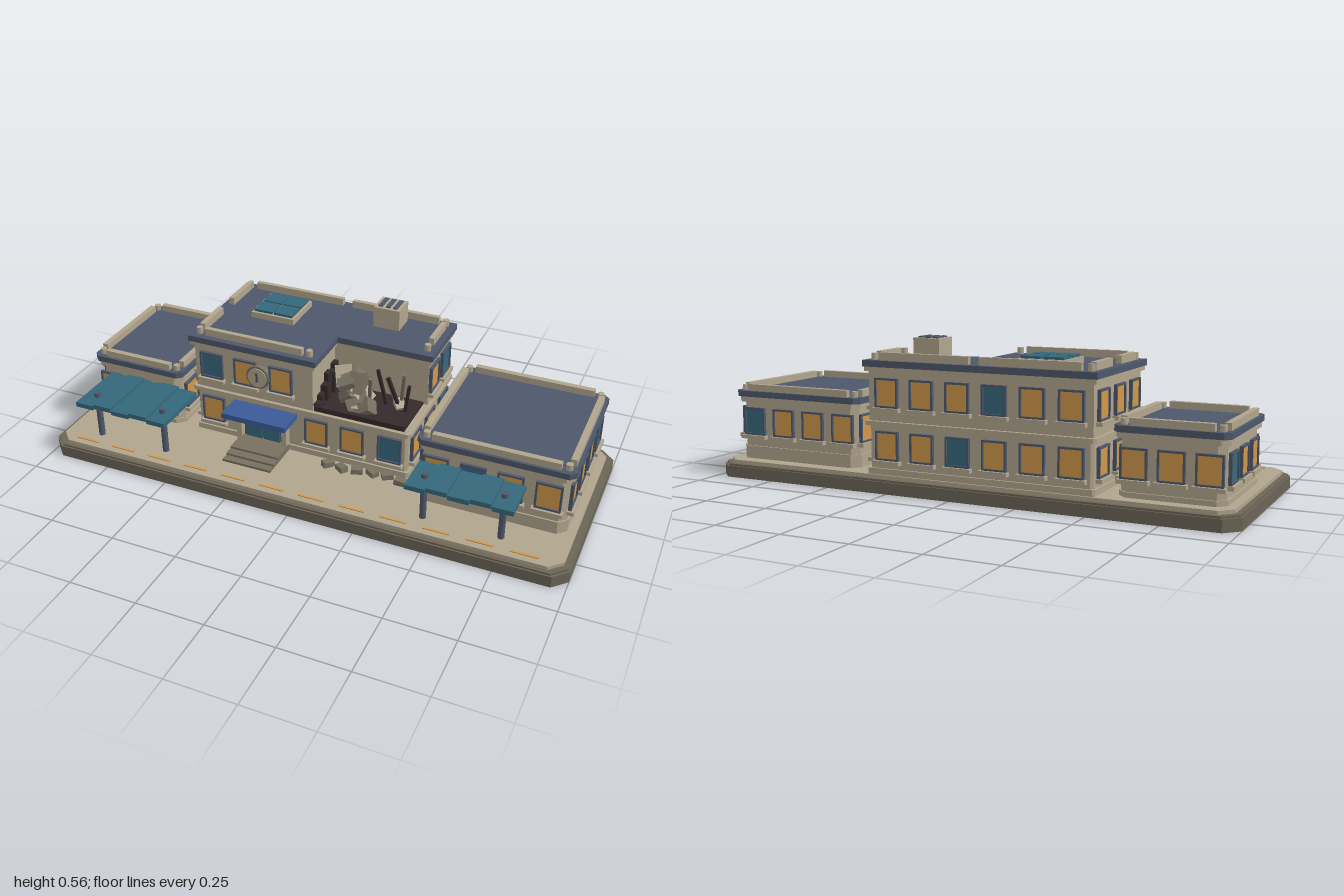
import * as THREE from 'three';

const mat = (name, color) => { const m = new THREE.MeshStandardMaterial({ color }); m.name = name; return m; };

export function createModel() {
  const beige = mat('stone', 0xb0a58d), base = mat('foundation', 0x6b6556), slate = mat('slate', 0x4d586b),
    amber = mat('litGlass', 0xcf974a), teal = mat('tealGlass', 0x34687a), blue = mat('awningBlue', 0x3b5a97),
    dark = mat('charred', 0x35292b), grey = mat('rubbleGrey', 0x777060);
  const root = new THREE.Group();
  root.name = 'station';
  let seed = 7;
  const rnd = () => (seed = (seed * 16807) % 2147483647) / 2147483647;

  const group = (name, parent = root) => { const g = new THREE.Group(); g.name = name; parent.add(g); return g; };
  const add = (parent, name, geo, m) => { const o = new THREE.Mesh(geo, m); o.name = name; parent.add(o); return o; };
  // box given by its limits
  const box = (parent, name, m, x0, x1, y0, y1, z0, z1) => {
    const o = add(parent, name, new THREE.BoxGeometry(x1 - x0, y1 - y0, z1 - z0), m);
    o.position.set((x0 + x1) / 2, (y0 + y1) / 2, (z0 + z1) / 2);
    return o;
  };
  // upright prism over a plan outline of [x, z] points
  const prism = (parent, name, m, pts, y0, y1) => {
    const shape = new THREE.Shape(pts.map(([x, z]) => new THREE.Vector2(x, -z)));
    const geo = new THREE.ExtrudeGeometry(shape, { depth: y1 - y0, bevelEnabled: false });
    geo.rotateX(-Math.PI / 2).translate(0, y0, 0);
    return add(parent, name, geo, m);
  };
  // rectangle with cut corners, grown by e
  const cut = (x0, x1, z0, z1, c, e = 0) => {
    x0 -= e; x1 += e; z0 -= e; z1 += e;
    return [[x0 + c, z0], [x1 - c, z0], [x1, z0 + c], [x1, z1 - c], [x1 - c, z1], [x0 + c, z1], [x0, z1 - c], [x0, z0 + c]];
  };

  // window: frame, glass and sill, facing +z around its centre
  const frameGeo = (w, h) => {
    const rect = (P, a, b) => { const p = new P(); p.moveTo(-a, -b); p.lineTo(a, -b); p.lineTo(a, b); p.lineTo(-a, b); p.closePath(); return p; };
    const s = rect(THREE.Shape, w / 2, h / 2);
    s.holes.push(rect(THREE.Path, w / 2 - 0.007, h / 2 - 0.007));
    return new THREE.ExtrudeGeometry(s, { depth: 0.012, bevelEnabled: false });
  };
  const winFrame = frameGeo(0.092, 0.105);
  const addWindow = (parent, x, y, z, rot, glass) => {
    const g = group('window', parent);
    g.position.set(x, y, z);
    g.rotation.y = rot;
    add(g, 'windowFrame', winFrame, slate);
    box(g, 'windowGlass', glass, -0.041, 0.041, -0.047, 0.047, 0, 0.006);
    box(g, 'windowSill', beige, -0.054, 0.054, -0.066, -0.052, -0.002, 0.022);
  };
  // rows along x (front/back) or z (sides); tealAt marks the teal pane
  const rowX = (g, xs, y, z, rot, tealAt) => xs.forEach((x, i) => addWindow(g, x, y, z, rot, i === tealAt ? teal : amber));
  const rowZ = (g, zs, y, x, rot, tealAt) => zs.forEach((z, i) => addWindow(g, x, y, z, rot, i === tealAt ? teal : amber));
  const HALF = Math.PI / 2;
  const spread = (c, n, p) => Array.from({ length: n }, (_, i) => c + (i - (n - 1) / 2) * p);
  const post = (parent, name, m, x, z, y0, y1, r) => {
    const o = add(parent, name, new THREE.CylinderGeometry(r, r, y1 - y0, 12), m);
    o.position.set(x, (y0 + y1) / 2, z);
  };

  // platform
  const ground = group('platform');
  prism(ground, 'foundation', base, cut(-1, 1, -0.397, 0.397, 0.05), 0, 0.043);
  prism(ground, 'foundationBevel', base, cut(-0.994, 0.994, -0.391, 0.391, 0.05), 0.043, 0.05);
  prism(ground, 'pavement', beige, cut(-0.975, 0.975, -0.375, 0.375, 0.045), 0.05, 0.063);
  for (let i = -3; i < 9; i++) {
    const x = -0.395 + i * 0.155;
    box(ground, 'edgeStripe', amber, x - 0.048, x + 0.048, 0.063, 0.066, 0.34, 0.349);
  }

  // side wings
  const wing = (name, x0, x1, z0, z1, top, winY, xs, zs, teals) => {
    const g = group(name);
    prism(g, 'plinth', beige, cut(x0, x1, z0, z1, 0.03, 0.006), 0.06, winY - 0.095);
    prism(g, 'walls', beige, cut(x0, x1, z0, z1, 0.025), 0.06, top - 0.02);
    prism(g, 'cornice', beige, cut(x0, x1, z0, z1, 0.025, 0.013), top - 0.02, top);
    prism(g, 'roof', slate, cut(x0, x1, z0, z1, 0.02, 0.018), top, top + 0.022);
    const y0 = top + 0.022, y1 = top + 0.047;
    [z0 + 0.004, z1 - 0.004].forEach(z => box(g, 'parapet', beige, x0 + 0.035, x1 - 0.035, y0, y1, z - 0.011, z + 0.011));
    [x0 + 0.004, x1 - 0.004].forEach(x => box(g, 'parapet', beige, x - 0.011, x + 0.011, y0, y1, z0 + 0.035, z1 - 0.035));
    for (const x of [x0 + 0.012, x1 - 0.012]) for (const z of [z0 + 0.012, z1 - 0.012])
      post(g, 'parapetPost', beige, x, z, y0, y1 - 0.004, 0.012);
    rowX(g, xs, winY, z1, 0, teals[0]);
    rowX(g, xs, winY, z0, Math.PI, teals[1]);
    rowZ(g, zs, winY, x1, HALF, teals[2]);
    rowZ(g, zs, winY, x0, -HALF, teals[3]);
  };
  wing('rightWing', -0.937, -0.588, -0.322, 0.105, 0.277, 0.176, spread(-0.765, 3, 0.125), spread(-0.108, 3, 0.133), [1, -1, -1, 0]);
  wing('leftWing', 0.422, 0.938, -0.315, 0.19, 0.3, 0.206, spread(0.675, 4, 0.132), spread(-0.061, 4, 0.126), [1, 3, 0, -1]);

  // main block, its upper floor cut back at one front corner
  const main = group('mainBlock');
  const X0 = -0.515, X1 = 0.335, Z0 = -0.36, Z1 = 0.09, NX = -0.035, NZ = -0.115;
  const ell = e => [[X0 - e, Z0 - e], [X1 + e, Z0 - e], [X1 + e, NZ + e], [NX + e, NZ + e], [NX + e, Z1 + e], [X0 - e, Z1 + e]];
  prism(main, 'plinth', beige, cut(X0, X1, Z0, Z1, 0.008, 0.008), 0.06, 0.085);
  prism(main, 'lowerWalls', beige, cut(X0, X1, Z0, Z1, 0.01), 0.06, 0.255);
  prism(main, 'floorBelt', beige, cut(X0, X1, Z0, Z1, 0.01, 0.014), 0.238, 0.254);
  prism(main, 'upperWalls', beige, ell(0), 0.255, 0.44);
  prism(main, 'cornice', beige, ell(0.012), 0.43, 0.446);
  prism(main, 'roof', slate, ell(0.017), 0.446, 0.469);
  // roof edge
  const par = (x0, x1, z0, z1) => box(main, 'parapet', beige, x0, x1, 0.469, 0.497, z0, z1);
  par(-0.47, -0.1, -0.36, -0.342); par(-0.06, 0.29, -0.36, -0.342);
  par(-0.47, -0.08, 0.064, 0.083);
  par(-0.51, -0.49, -0.33, -0.18); par(-0.51, -0.49, -0.095, 0.05);
  par(0.308, 0.327, -0.32, -0.18);
  [[-0.5, -0.345], [0.318, -0.345], [-0.5, 0.07], [-0.055, 0.07], [0.318, -0.14]]
    .forEach(([x, z]) => post(main, 'parapetPost', beige, x, z, 0.469, 0.493, 0.012));

  // main windows
  const sideZ = spread(-0.135, 3, 0.15), backX = spread(-0.09, 6, 0.14).reverse();
  rowX(main, [-0.445, -0.02, 0.122, 0.268], 0.167, Z1, 0, 3);
  rowX(main, [-0.445, -0.305, -0.16], 0.355, Z1, 0, 0);
  rowX(main, backX, 0.167, Z0, Math.PI, 2);
  rowX(main, backX, 0.355, Z0, Math.PI, 3);
  for (const y of [0.167, 0.355]) rowZ(main, sideZ, y, X0, -HALF, -1);
  rowZ(main, sideZ, 0.167, X1, HALF, 0);
  rowZ(main, [-0.29, -0.165], 0.355, X1, HALF, 0);

  // clock
  const clock = group('clock', main);
  clock.position.set(-0.248, 0.355, Z1);
  const disc = (name, r, d, m) => add(clock, name, new THREE.CylinderGeometry(r, r, d, 24).rotateX(HALF).translate(0, 0, d / 2), m);
  disc('clockRim', 0.046, 0.02, grey);
  disc('clockFace', 0.038, 0.024, beige);
  box(clock, 'clockHand', slate, -0.004, 0.004, -0.016, 0.022, 0.024, 0.028);

  // entrance
  const door = group('entrance');
  box(door, 'doorFrame', slate, -0.315, -0.155, 0.063, 0.205, Z1, 0.1);
  box(door, 'doorLeft', teal, -0.304, -0.238, 0.066, 0.195, 0.1, 0.106);
  box(door, 'doorRight', teal, -0.232, -0.166, 0.066, 0.195, 0.1, 0.106);
  for (const x of [-0.328, -0.142]) box(door, 'doorPier', beige, x - 0.01, x + 0.01, 0.06, 0.205, Z1, 0.12);
  box(door, 'awning', blue, -0.36, -0.1, 0.203, 0.224, 0.09, 0.197);
  box(door, 'awningTrim', slate, -0.35, -0.11, 0.196, 0.203, 0.09, 0.187);
  [0.265, 0.235, 0.2].forEach((z, i) => box(door, 'step', grey, -0.325, -0.13, 0.063, 0.072 + i * 0.008, 0.1, z));

  // platform canopies
  const canopy = (name, x0, z0, postXs) => {
    const g = group(name);
    for (let i = 0; i < 5; i++) {
      const x = x0 + i * 0.076, dy = i % 2 ? 0.008 : 0;
      box(g, 'canopyPanel', teal, x + 0.001, x + 0.075, 0.214 + dy, 0.232 + dy, z0, 0.357);
    }
    box(g, 'canopyBeam', teal, x0 + 0.01, x0 + 0.37, 0.205, 0.214, 0.28, 0.3);
    for (const x of postXs) post(g, 'canopyPost', slate, x, 0.288, 0.06, 0.248, 0.012);
  };
  canopy('rightCanopy', -0.887, 0.115, [-0.835, -0.553]);
  canopy('leftCanopy', 0.418, 0.2, [0.468, 0.747]);

  // skylight
  const sky = group('skylight');
  box(sky, 'skylightCurb', beige, -0.382, -0.208, 0.469, 0.492, -0.288, -0.117);
  for (const x of [-0.336, -0.254]) for (const z of [-0.242, -0.163])
    box(sky, 'skylightPane', teal, x - 0.037, x + 0.037, 0.492, 0.501, z - 0.036, z + 0.036);

  // roof vent
  const vent = group('roofVent');
  box(vent, 'ventBody', beige, 0.07, 0.172, 0.469, 0.55, -0.326, -0.232);
  for (const x of [0.092, 0.121, 0.15]) box(vent, 'ventSlot', slate, x - 0.008, x + 0.008, 0.549, 0.555, -0.314, -0.244);

  // collapsed corner: charred floor, broken wall, rubble and beams
  const ruin = group('collapsedCorner');
  box(ruin, 'charredFloor', dark, -0.03, 0.32, 0.25, 0.264, NZ, 0.08);
  [0.37, 0.35, 0.36, 0.325, 0.3, 0.28].forEach((y, i) =>
    box(ruin, 'brokenWall', dark, NX, NX + 0.018 + (i % 2) * 0.01, 0.255, y, -0.105 + i * 0.031, -0.073 + i * 0.031));
  box(ruin, 'charredEdge', dark, -0.03, 0.32, 0.255, 0.275, 0.07, 0.09);
  for (let i = 0; i < 16; i++) {
    const s = 0.035 + rnd() * 0.03, high = i % 3;
    const o = add(ruin, 'rubble', new THREE.BoxGeometry(s * 1.3, s, s), i % 4 ? grey : beige);
    o.position.set(0.03 + rnd() * (high ? 0.12 : 0.24), 0.275 + high * 0.038, -0.08 + rnd() * 0.12);
    o.rotation.set(rnd() * 0.8, rnd() * 3, rnd() * 0.8);
  }
  for (let i = 0; i < 6; i++) {
    const h = 0.12 + rnd() * 0.045;
    const o = add(ruin, 'fallenBeam', new THREE.BoxGeometry(0.011, h, 0.011), i % 2 ? dark : grey);
    o.position.set(0.16 + i * 0.026, 0.262 + h / 2, -0.06 + rnd() * 0.09);
    o.rotation.set(0.15 + rnd() * 0.25, 0, 0.3 - rnd() * 0.5);
  }
  // stones on the pavement
  for (let i = 0; i < 7; i++) {
    const o = add(ruin, 'fallenStone', new THREE.BoxGeometry(0.043, 0.022, 0.03), grey);
    o.position.set(0.045 + i * 0.057, 0.072, 0.12 + rnd() * 0.025);
    o.rotation.set(0, rnd() * 2 - 1, rnd() * 0.3 - 0.15);
  }
  return root;
}
